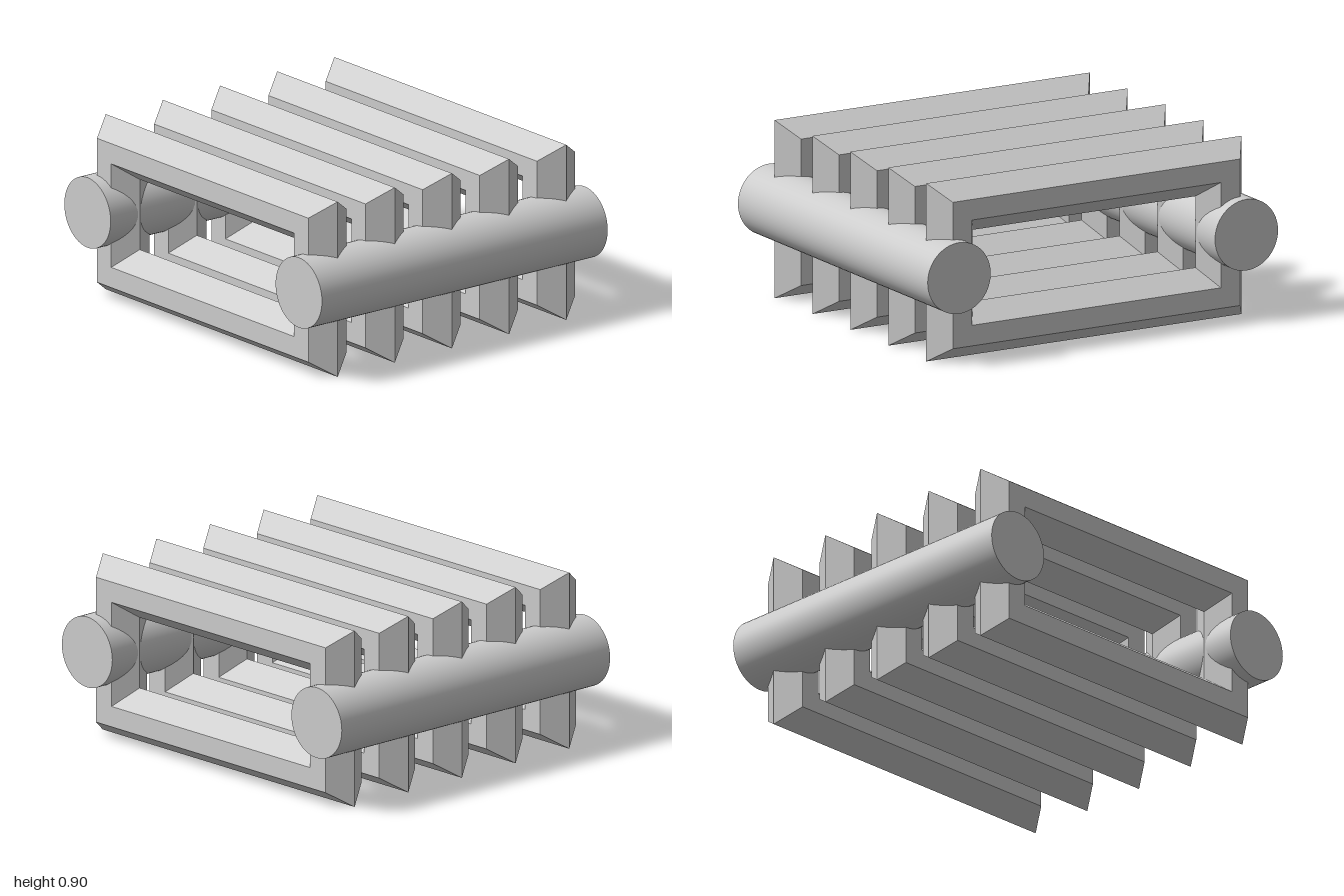
import * as THREE from 'three';

const material = new THREE.MeshStandardMaterial({ color: 0xcccccc });

// Hexagonal bar section as [half width, half height, z], from the outer ridge over the front and round the back
const section = [
  [0.9, 0.45, 0], [0.82, 0.37, 0.12], [0.71, 0.266, 0.12],
  [0.636, 0.18, 0], [0.71, 0.266, -0.12], [0.82, 0.37, -0.12],
];
const corners = [[1, -1], [1, 1], [-1, 1], [-1, -1]];

// Mitred rectangular ring: the section carried round four corners
function frameGeometry() {
  const positions = [];
  const point = (c, i) => {
    const [w, h, z] = section[i % section.length];
    const [sx, sy] = corners[c % corners.length];
    return [sx * w, sy * h, z];
  };
  for (let c = 0; c < corners.length; c++) {
    for (let i = 0; i < section.length; i++) {
      const p = point(c, i), q = point(c + 1, i);
      const r = point(c + 1, i + 1), s = point(c, i + 1);
      positions.push(...p, ...q, ...r, ...p, ...r, ...s);
    }
  }
  const geometry = new THREE.BufferGeometry();
  geometry.setAttribute('position', new THREE.Float32BufferAttribute(positions, 3));
  geometry.computeVertexNormals();
  return geometry;
}

export function createModel() {
  const model = new THREE.Group();
  model.name = 'ribbedRack';

  // Five evenly spaced rectangular frames
  const frame = frameGeometry();
  for (let i = -2; i <= 2; i++) {
    const mesh = new THREE.Mesh(frame, material);
    mesh.name = `frame${i + 3}`;
    mesh.position.set(0, 0.45, i * 0.36);
    model.add(mesh);
  }

  // Round rails running through the frame sides
  const rail = new THREE.CylinderGeometry(0.18, 0.18, 1.8, 48).rotateX(Math.PI / 2);
  for (const side of [-1, 1]) {
    const mesh = new THREE.Mesh(rail, material);
    mesh.name = side > 0 ? 'leftRail' : 'rightRail';
    mesh.position.set(side * 0.82, 0.45, 0);
    model.add(mesh);
  }
  return model;
}
